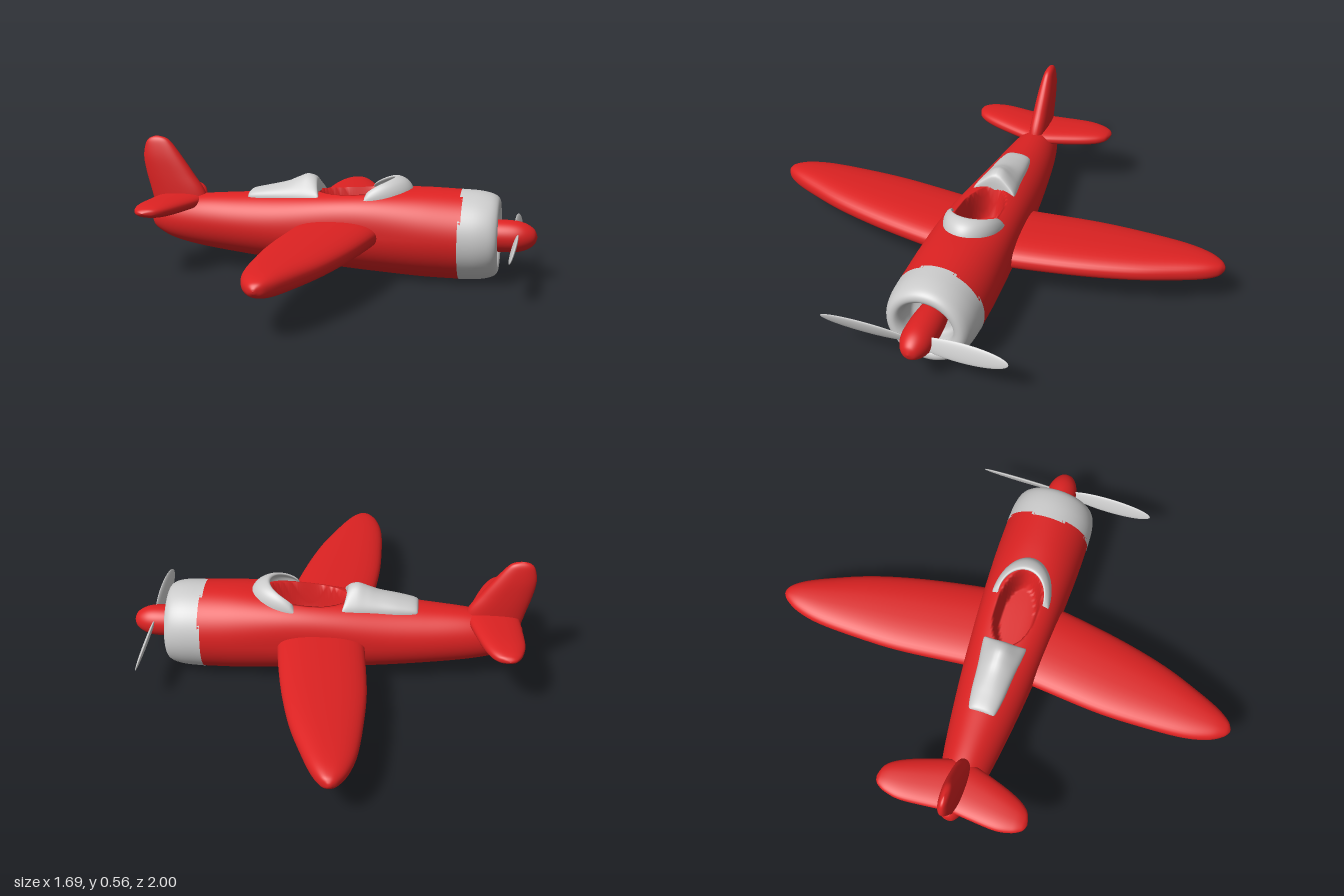
import * as THREE from 'three';

const red = new THREE.MeshStandardMaterial({ color: 0xdd2222, side: THREE.DoubleSide });
const grey = new THREE.MeshStandardMaterial({ color: 0xcccccc, side: THREE.DoubleSide });

const AXIS_Y = 0.19; // height of the engine axis

// Signed power, for superelliptic cross-sections
const spow = (v, p) => Math.sign(v) * Math.pow(Math.abs(v), p);

// Smooth interpolation of the rows of a station table, u in 0..1
function station(rows, u) {
  const f = Math.min(u, 1) * (rows.length - 1);
  const i = Math.min(Math.floor(f), rows.length - 2), t = f - i;
  const row = (k) => rows[Math.max(0, Math.min(rows.length - 1, k))];
  return rows[0].map((_, c) => {
    const [p0, p1, p2, p3] = [-1, 0, 1, 2].map((d) => row(i + d)[c]);
    const m1 = (p2 - p0) / 2, m2 = (p3 - p1) / 2;
    return p1 + m1 * t + (3 * (p2 - p1) - 2 * m1 - m2) * t * t + (2 * (p1 - p2) + m1 + m2) * t ** 3;
  });
}

// Skin closed rings: point(u, angle) gives [x, y, z]
function loft(nu, nt, point) {
  const pos = [], index = [];
  for (let i = 0; i <= nu; i++)
    for (let j = 0; j < nt; j++) pos.push(...point(i / nu, (j / nt) * Math.PI * 2));
  for (let i = 0; i < nu; i++)
    for (let j = 0; j < nt; j++) {
      const k = (j + 1) % nt, a = i * nt + j, b = i * nt + k, c = a + nt, d = b + nt;
      index.push(a, b, c, b, d, c);
    }
  // Turn the faces outward using the sign of the enclosed volume
  let volume = 0;
  const v = (k) => new THREE.Vector3().fromArray(pos, k * 3);
  for (let k = 0; k < index.length; k += 3) volume += v(index[k]).dot(v(index[k + 1]).cross(v(index[k + 2])));
  if (volume < 0) index.reverse();
  const g = new THREE.BufferGeometry();
  g.setAttribute('position', new THREE.Float32BufferAttribute(pos, 3));
  g.setIndex(index);
  g.computeVertexNormals();
  return g;
}

function add(group, name, geometry, material) {
  const mesh = new THREE.Mesh(geometry, material);
  mesh.name = name;
  group.add(mesh);
  return mesh;
}

// Rows: x, bottom, top, half width
const BODY = [
  [-0.812, 0.205, 0.215, 0], [-0.805, 0.172, 0.243, 0.025], [-0.77, 0.143, 0.265, 0.048],
  [-0.7, 0.113, 0.292, 0.075], [-0.58, 0.088, 0.315, 0.102], [-0.4, 0.065, 0.329, 0.128],
  [-0.2, 0.045, 0.343, 0.15], [0, 0.03, 0.357, 0.165], [0.2, 0.016, 0.371, 0.177],
  [0.38, 0.006, 0.379, 0.185], [0.54, 0.004, 0.376, 0.186]];

function fuselage() {
  return loft(170, 128, (u, t) => {
    const [x, bottom, top, w] = station(BODY, u);
    // Flatter deck around the cockpit
    const n = 2 + 0.8 * Math.exp(-(((x - 0.08) / 0.25) ** 2));
    const s = Math.sin(t), p = s > 0 ? 2 / n : 1;
    const z = w * spow(Math.cos(t), p);
    let y = (top + bottom) / 2 + ((top - bottom) / 2) * spow(s, p);
    // Sunken cockpit
    if (s > 0) {
      const e = ((x - 0.1) / 0.175) ** 2 + (z / 0.087) ** 2;
      y -= 0.14 * THREE.MathUtils.smoothstep(1 - e, 0, 0.3);
    }
    return [x, y, z];
  });
}

// Rows: span, rear x, front x, centre height, half thickness
const WING = [
  [0.08, -0.15, 0.21, 0.195, 0.06], [0.2, -0.163, 0.2, 0.195, 0.06], [0.45, -0.186, 0.155, 0.195, 0.058],
  [0.66, -0.186, 0.1, 0.195, 0.055], [0.82, -0.176, 0.038, 0.194, 0.051], [0.92, -0.152, -0.008, 0.193, 0.044],
  [0.975, -0.122, -0.045, 0.192, 0.031], [0.995, -0.1, -0.072, 0.192, 0.014], [1, -0.087, -0.085, 0.192, 0]];
const TAILPLANE = [
  [0, -0.79, -0.57, 0.286, 0.033], [0.09, -0.8, -0.595, 0.286, 0.033], [0.2, -0.808, -0.632, 0.286, 0.032],
  [0.265, -0.797, -0.662, 0.286, 0.027], [0.3, -0.78, -0.69, 0.286, 0.019], [0.314, -0.765, -0.718, 0.286, 0.01],
  [0.32, -0.746, -0.744, 0.286, 0]];
const FIN = [
  [0.22, -0.79, -0.55, 0, 0.04], [0.32, -0.815, -0.575, 0, 0.04], [0.4, -0.836, -0.627, 0, 0.037],
  [0.47, -0.847, -0.676, 0, 0.032], [0.525, -0.838, -0.717, 0, 0.023], [0.55, -0.82, -0.745, 0, 0.014],
  [0.561, -0.788, -0.786, 0, 0]];

// Rounded aerofoil surface; side is +1 or -1 along z, or 0 for an upright one
function aerofoil(rows, side) {
  return loft(48, 40, (u, t) => {
    const [span, rear, front, centre, h] = station(rows, u);
    const c = spow(Math.cos(t), 0.85), s = spow(Math.sin(t), 0.85);
    const x = (rear + front) / 2 + ((front - rear) / 2) * c;
    const across = centre + h * s * (1 + 0.08 * c) / 1.04;
    return side ? [x, across, span * side] : [x, span, across];
  });
}

// Lathe about the engine axis from [x, radius] points
function turned(points) {
  const curve = new THREE.SplineCurve(points.map(([x, r]) => new THREE.Vector2(r, x)));
  const profile = curve.getPoints(48).map((p) => new THREE.Vector2(Math.max(p.x, 0), p.y));
  return new THREE.LatheGeometry(profile, 64).rotateZ(-Math.PI / 2).translate(0, AXIS_Y, 0);
}

// Fairing behind the cockpit. Rows: x, half width, edge height, central hump height
const FAIRING = [
  [-0.372, 0.045, 0.01, 0], [-0.36, 0.058, 0.03, 0.002], [-0.29, 0.07, 0.045, 0.005],
  [-0.21, 0.077, 0.052, 0.018], [-0.16, 0.083, 0.055, 0.036], [-0.12, 0.09, 0.057, 0.049],
  [-0.085, 0.095, 0.056, 0.04], [-0.073, 0.094, 0.045, 0.025], [-0.07, 0.09, 0.01, 0]];
function fairing() {
  return loft(56, 56, (u, t) => {
    const [x, w, edge, hump] = station(FAIRING, u);
    const z = w * spow(Math.cos(t), 0.8), s = Math.sin(t);
    const bow = 0.016 * (z / 0.09) ** 2 * THREE.MathUtils.smoothstep(x, -0.2, -0.08);
    const rise = s > 0 ? edge * Math.pow(s, 0.75) + hump * s * Math.exp(-((z / 0.06) ** 2)) : 0.03 * s;
    return [x + bow, 0.315 + rise, z];
  });
}

// Windscreen: a hollow curved lip swept round the front of the cockpit
function windscreen() {
  const lip = new THREE.CatmullRomCurve3(
    [[1, 0], [0.98, 0.45], [0.65, 0.84], [0.12, 1], [0, 0.9], [0.4, 0.62], [0.5, 0]]
      .map(([f, h]) => new THREE.Vector3(f, h, 0)), true);
  return loft(56, 32, (u, t) => {
    const phi = (u - 0.5) * Math.PI, c = Math.max(Math.cos(phi), 0);
    const p = lip.getPoint((t / (Math.PI * 2)) % 1);
    const x = 0.14 + (0.11 + 0.078 * p.x) * c;
    const z = (0.098 + 0.027 * p.x) * Math.sin(phi);
    return [x, 0.325 + 0.012 * c + (0.025 + 0.062 * Math.pow(c, 0.5)) * p.y, z];
  });
}

export function createModel() {
  const plane = new THREE.Group();
  plane.name = 'airplane';

  add(plane, 'fuselage', fuselage(), red);
  for (const [side, label] of [[1, 'left'], [-1, 'right']]) {
    add(plane, label + 'Wing', aerofoil(WING, side), red);
    add(plane, label + 'Tailplane', aerofoil(TAILPLANE, side), red);
  }
  add(plane, 'tailFin', aerofoil(FIN, 0), red);
  add(plane, 'cockpitFairing', fairing(), grey);
  add(plane, 'windscreen', windscreen(), grey);

  // Engine cowling with a rounded intake lip
  add(plane, 'cowling', turned([[0.528, 0.187], [0.6, 0.184], [0.65, 0.175], [0.676, 0.162], [0.686, 0.145],
    [0.682, 0.126], [0.66, 0.111], [0.62, 0.104], [0.58, 0.095], [0.57, 0.05], [0.57, 0]]), grey);
  add(plane, 'spinner', turned([[0.56, 0.055], [0.63, 0.064], [0.7, 0.067], [0.76, 0.064], [0.8, 0.052],
    [0.83, 0.03], [0.842, 0]]), red);

  // Two twisted propeller blades
  const propeller = new THREE.Group();
  propeller.name = 'propeller';
  propeller.position.set(0.757, AXIS_Y, 0.02);
  for (const side of [1, -1]) {
    const blade = add(propeller, 'blade', new THREE.SphereGeometry(1, 32, 20).rotateX(Math.PI / 2), grey);
    blade.scale.set(0.008, 0.04, 0.19);
    blade.position.z = side * 0.2;
    blade.rotation.z = -side * 0.35;
  }
  plane.add(propeller);
  return plane;
}
